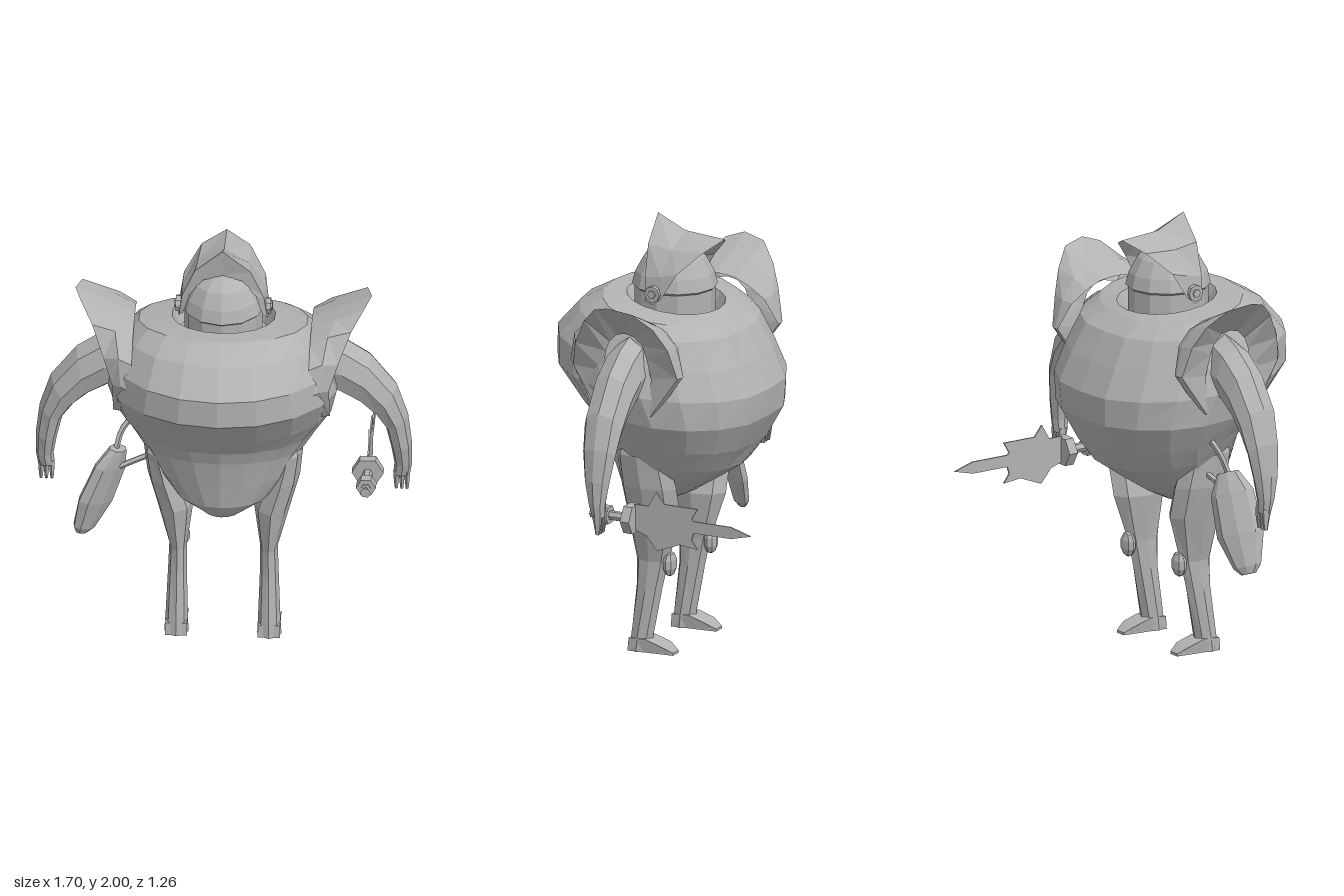
import * as THREE from 'three';

const grey = new THREE.MeshStandardMaterial({ color: 0xb2b2b2, flatShading: true, side: THREE.DoubleSide });
grey.name = 'plain grey';

// Skin rows of [x, y, z] points; closed rows wrap round and get end caps.
function loft(rows, closed = true) {
  const pos = [], n = rows[0].length;
  const tri = (a, b, c) => pos.push(...a, ...b, ...c);
  for (let i = 0; i < rows.length - 1; i++) {
    for (let j = 0; j < (closed ? n : n - 1); j++) {
      const k = (j + 1) % n, A = rows[i], B = rows[i + 1];
      tri(A[j], B[j], A[k]);
      tri(A[k], B[j], B[k]);
    }
  }
  if (closed) {
    const first = rows[0], last = rows[rows.length - 1];
    for (let j = 1; j < n - 1; j++) {
      tri(first[0], first[j], first[j + 1]);
      tri(last[0], last[j + 1], last[j]);
    }
  }
  const g = new THREE.BufferGeometry();
  g.setAttribute('position', new THREE.Float32BufferAttribute(pos, 3));
  g.computeVertexNormals();
  return g;
}

// Limb from sections: outer x,y, inner x,y, centre z, half depth.
function limb(sections, sides = 8) {
  return loft(sections.map(([ox, oy, ix, iy, z, rz]) => Array.from({ length: sides }, (_, j) => {
    const a = (j / sides) * Math.PI * 2, s = Math.sin(a) / 2;
    return [(ox + ix) / 2 + (ox - ix) * s, (oy + iy) / 2 + (oy - iy) * s, z + rz * Math.cos(a)];
  })));
}

// Mirror across x, keeping faces outward.
function mirror(geo) {
  const g = geo.index ? geo.toNonIndexed() : geo.clone();
  const p = g.attributes.position;
  for (let i = 0; i < p.count; i += 3) {
    const t = [0, 1, 2].map(k => [-p.getX(i + k), p.getY(i + k), p.getZ(i + k)]);
    p.setXYZ(i, ...t[0]); p.setXYZ(i + 1, ...t[2]); p.setXYZ(i + 2, ...t[1]);
  }
  g.computeVertexNormals();
  return g;
}

// Side profile of [z, y] points extruded across x.
function sidePlate(points, width, x) {
  const g = new THREE.ExtrudeGeometry(new THREE.Shape(points.map(p => new THREE.Vector2(...p))), { depth: width, bevelEnabled: false });
  return g.rotateY(-Math.PI / 2).translate(x + width / 2, 0, 0);
}

export function createModel() {
  const root = new THREE.Group();
  const add = (name, geo) => {
    const m = new THREE.Mesh(geo, grey);
    m.name = name;
    root.add(m);
  };
  const pair = (name, geo) => {
    add(name + 'Left', geo);
    add(name + 'Right', mirror(geo));
  };

  // Torso: tilted rings as front y,z, back y,z, half width; the back is fuller and creased
  const torso = [
    [1.55, 0.25, 1.52, -0.09, 0.20], [1.65, 0.31, 1.59, -0.13, 0.235],
    [1.655, 0.40, 1.57, -0.17, 0.385], [1.59, 0.52, 1.51, -0.27, 0.45],
    [1.47, 0.63, 1.38, -0.345, 0.50], [1.34, 0.63, 1.25, -0.405, 0.525],
    [1.18, 0.50, 1.12, -0.395, 0.495], [1.08, 0.42, 0.98, -0.32, 0.42],
    [1.01, 0.39, 0.87, -0.24, 0.36], [0.88, 0.36, 0.79, -0.12, 0.295],
    [0.75, 0.335, 0.72, -0.01, 0.205], [0.67, 0.28, 0.67, 0.09, 0.09],
  ];
  const N = 18;
  add('torso', loft(torso.map(([yf, zf, yb, zb, w], i) => Array.from({ length: N }, (_, j) => {
    const a = (j / N) * Math.PI * 2, c = Math.cos(a);
    const t = (1 - (c < 0 ? -Math.pow(-c, 0.88) : c)) / 2;
    const crease = j === N / 2 && i > 2 && i < 8 ? 0.015 : 0;
    return [w * Math.sin(a), yf + (yb - yf) * t, zf + (zb - zf) * t + crease];
  }))));

  // Head dome with a slight lip over the neck
  const dome = [[0.176, 1.53], [0.176, 1.67], [0.187, 1.68], [0.172, 1.74], [0.135, 1.81], [0.08, 1.855], [0.001, 1.872]]
    .map(p => new THREE.Vector2(...p));
  add('head', new THREE.LatheGeometry(dome, 12).scale(1, 1, 1.05).translate(0, 0, 0.095));

  // Hood: waisted band flaring to a peak at each edge, closed onto the dome in front
  const arch = half => [...half.slice(1).reverse().map(([x, y, z]) => [-x, y, z]), ...half];
  add('hood', loft([
    arch([[0, 1.92, -0.16], [0.11, 1.875, -0.105], [0.185, 1.78, -0.01], [0.205, 1.66, 0.06]]),
    arch([[0, 1.935, 0.04], [0.12, 1.87, 0.05], [0.188, 1.76, 0.07], [0.205, 1.63, 0.1]]),
    arch([[0, 2.0, 0.18], [0.125, 1.89, 0.165], [0.185, 1.75, 0.15], [0.2, 1.64, 0.14]]),
    arch([[0, 1.865, 0.16], [0.09, 1.84, 0.165], [0.15, 1.76, 0.16], [0.18, 1.66, 0.15]]),
  ], false));
  pair('earBolt', new THREE.CylinderGeometry(0.038, 0.038, 0.03, 8).rotateZ(Math.PI / 2).translate(0.2, 1.68, 0.1));
  pair('earStud', new THREE.CylinderGeometry(0.02, 0.02, 0.03, 6).rotateZ(Math.PI / 2).translate(0.207, 1.68, 0.1));

  // Flared shoulder guards: seam, bulge, rim and hollow underside, from front to back
  pair('shoulderGuard', loft([
    [[0.45, 1.20, 0.26], [0.41, 1.39, 0.41], [0.40, 1.51, 0.38], [0.40, 1.58, 0.28], [0.40, 1.61, 0.18], [0.40, 1.62, 0.09],
      [0.40, 1.61, 0], [0.40, 1.58, -0.07], [0.42, 1.52, -0.14], [0.46, 1.40, -0.19], [0.46, 1.20, -0.05]],
    [[0.47, 1.20, 0.255], [0.45, 1.40, 0.39], [0.46, 1.53, 0.365], [0.48, 1.62, 0.27], [0.51, 1.66, 0.18], [0.52, 1.675, 0.09],
      [0.51, 1.66, -0.01], [0.48, 1.62, -0.09], [0.47, 1.53, -0.16], [0.48, 1.40, -0.195], [0.48, 1.20, -0.05]],
    [[0.49, 1.20, 0.25], [0.49, 1.39, 0.355], [0.53, 1.51, 0.325], [0.585, 1.64, 0.25], [0.64, 1.715, 0.17], [0.67, 1.74, 0.09],
      [0.645, 1.72, -0.02], [0.585, 1.64, -0.1], [0.54, 1.54, -0.15], [0.51, 1.40, -0.185], [0.50, 1.20, -0.04]],
    [[0.48, 1.20, 0.245], [0.49, 1.38, 0.2], [0.50, 1.48, 0.185], [0.50, 1.53, 0.165], [0.50, 1.565, 0.13], [0.50, 1.575, 0.09],
      [0.50, 1.565, 0.04], [0.50, 1.53, 0], [0.50, 1.48, -0.02], [0.49, 1.38, -0.04], [0.48, 1.20, -0.035]],
  ], false));

  // Curved arms with three fingers
  pair('arm', limb([
    [0.46, 1.55, 0.42, 1.23, 0.085, 0.09], [0.55, 1.51, 0.52, 1.24, 0.085, 0.1],
    [0.665, 1.43, 0.615, 1.185, 0.08, 0.1], [0.782, 1.275, 0.68, 1.125, 0.075, 0.095],
    [0.832, 1.12, 0.73, 1.055, 0.07, 0.082], [0.85, 0.97, 0.755, 0.95, 0.07, 0.062],
    [0.85, 0.86, 0.77, 0.86, 0.065, 0.04], [0.84, 0.80, 0.765, 0.80, 0.06, 0.03],
  ]));
  [0.778, 0.803, 0.827].forEach((x, i) => pair('finger' + (i + 1), limb([
    [x + 0.014, 0.82, x - 0.014, 0.82, 0.06, 0.028],
    [x + 0.012, 0.77, x - 0.012, 0.77, 0.055, 0.02],
    [x + 0.007, 0.72, x - 0.007, 0.72, 0.055, 0.01],
  ], 5)));

  // Legs, feet and round pads behind the knees
  pair('leg', limb([
    [0.33, 1.06, 0.26, 1.06, 0.1, 0.09], [0.36, 0.95, 0.23, 0.95, 0.105, 0.13],
    [0.345, 0.80, 0.18, 0.80, 0.09, 0.14],
    [0.305, 0.65, 0.135, 0.65, 0.085, 0.135], [0.245, 0.43, 0.165, 0.43, 0.1, 0.08],
    [0.25, 0.30, 0.165, 0.30, 0.115, 0.065], [0.26, 0.07, 0.158, 0.07, 0.15, 0.055],
    [0.265, 0, 0.155, 0, 0.155, 0.055],
  ]));
  const foot = sidePlate([[0.2, 0], [0.195, 0.06], [0.11, 0.065], [0.03, 0.04], [-0.02, 0.012], [-0.02, 0]], 0.1, 0.21);
  const fp = foot.attributes.position;
  for (let i = 0; i < fp.count; i++) {
    if (fp.getZ(i) < 0) fp.setX(i, 0.21 + (fp.getX(i) - 0.21) * 0.55);
  }
  pair('foot', foot);
  pair('kneePad', new THREE.SphereGeometry(0.06, 8, 5).scale(0.75, 1, 0.5).translate(0.2, 0.42, 0.015));

  // Flat hanging pouch, turned and leaning, with two straps
  const pouch = [[0.235, 0.03, 0.05], [0.14, 0.04, 0.1], [-0.05, 0.045, 0.11], [-0.2, 0.035, 0.065], [-0.235, 0.02, 0.035]];
  add('pouch', limb(pouch.map(([y, rx, rz]) => [rx, y, -rx, y, 0, rz]))
    .rotateY(-Math.PI / 4).rotateZ(-0.36).translate(-0.56, 0.685, 0.09));
  const strap = (name, pts) => add(name, new THREE.TubeGeometry(
    new THREE.CatmullRomCurve3(pts.map(p => new THREE.Vector3(...p))), 6, 0.014, 5));
  strap('upperStrap', [[-0.49, 0.89, 0.09], [-0.46, 0.99, 0.06], [-0.38, 1.08, 0.03]]);
  strap('lowerStrap', [[-0.47, 0.81, 0.09], [-0.38, 0.85, 0.08], [-0.3, 0.88, 0.07]]);

  // Sword pointing backwards, held beside the left hand
  const rod = (name, r1, r2, z0, z1) => add(name, new THREE.CylinderGeometry(r1, r2, z1 - z0, 6)
    .rotateX(Math.PI / 2).rotateZ(Math.PI / 6).translate(0.645, 0.76, (z0 + z1) / 2));
  rod('swordGrip', 0.022, 0.022, -0.02, 0.14);
  rod('swordPommel', 0.045, 0.045, 0.085, 0.135);
  rod('pommelSpike', 0.025, 0.004, 0.135, 0.18);
  rod('swordGuard', 0.072, 0.072, -0.045, 0);
  add('swordBlade', sidePlate([
    [-0.04, 0.83], [-0.11, 0.83], [-0.15, 0.9], [-0.19, 0.85], [-0.36, 0.85], [-0.33, 0.8], [-0.34, 0.79],
    [-0.53, 0.79], [-0.63, 0.76], [-0.53, 0.735], [-0.34, 0.735], [-0.33, 0.7], [-0.36, 0.66],
    [-0.27, 0.67], [-0.155, 0.625], [-0.1, 0.69], [-0.04, 0.71],
  ], 0.008, 0.645));

  return root;
}
